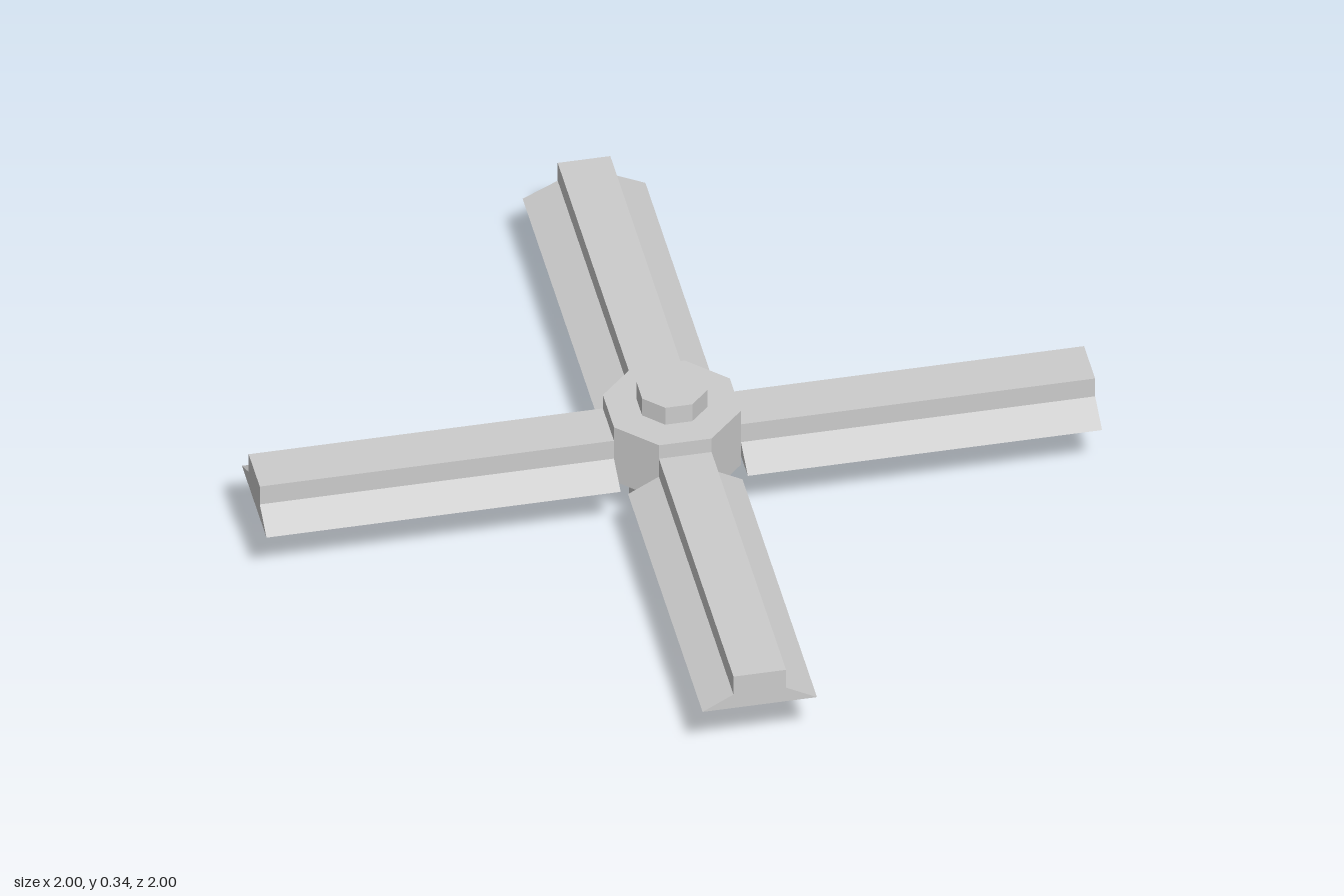
import * as THREE from 'three';

const material = new THREE.MeshStandardMaterial({ color: 0xcccccc, flatShading: true });

// Upright octagonal prism with flat sides facing the axes
function octagon(name, apothem, bottom, top) {
  const radius = apothem / Math.cos(Math.PI / 8);
  const geometry = new THREE.CylinderGeometry(radius, radius, top - bottom, 8);
  geometry.rotateY(Math.PI / 8);
  geometry.translate(0, (bottom + top) / 2, 0);
  const mesh = new THREE.Mesh(geometry, material);
  mesh.name = name;
  return mesh;
}

// Arm with a raised square rib and sloping flanges on a flat underside
function arm(name, halfWidth, angle) {
  const rib = 0.063, base = 0.157, shoulder = 0.197, top = 0.25;
  const inner = 0.152, outer = 1;
  const profile = new THREE.Shape([
    [-halfWidth, base], [halfWidth, base], [rib, shoulder],
    [rib, top], [-rib, top], [-rib, shoulder],
  ].map(([x, y]) => new THREE.Vector2(x, y)));
  const geometry = new THREE.ExtrudeGeometry(profile, { depth: outer - inner, bevelEnabled: false });
  geometry.translate(0, 0, inner);
  geometry.rotateY(angle);
  const mesh = new THREE.Mesh(geometry, material);
  mesh.name = name;
  return mesh;
}

export function createModel() {
  const model = new THREE.Group();
  model.name = 'fourArmRotor';

  // Stacked central hub
  model.add(
    octagon('shaft', 0.094, 0, 0.13),
    octagon('hub', 0.152, 0.13, 0.29),
    octagon('cap', 0.078, 0.29, 0.34),
  );

  // Four arms, slightly different in flange width
  const arms = [['frontArm', 0.137], ['leftArm', 0.142], ['backArm', 0.147], ['rightArm', 0.14]];
  arms.forEach(([name, halfWidth], i) => model.add(arm(name, halfWidth, i * Math.PI / 2)));

  return model;
}
